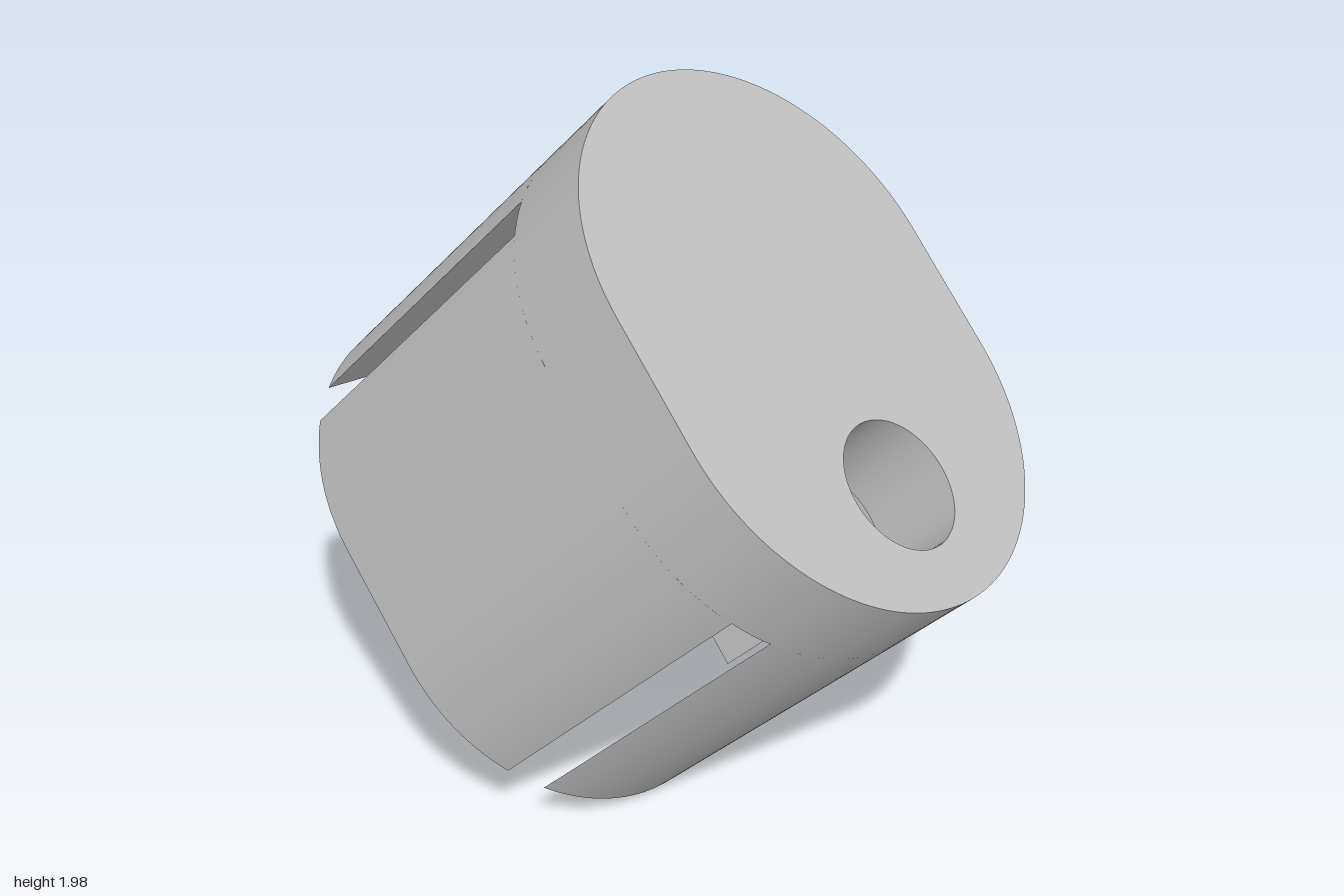
import * as THREE from 'three';
import { toCreasedNormals } from 'three/addons/utils/BufferGeometryUtils.js';

// Obround section: two half circles of radius R, centres at (0, +-S)
const R = 0.593, S = 0.178;
// Half size of the rectangular cavity, its depth and the overall height
const CU = 0.464, CV = 0.631, DEPTH = 1.003, HEIGHT = 1.288;

export function createModel() {
  const model = new THREE.Group();
  model.name = 'slottedCap';
  const grey = new THREE.MeshStandardMaterial({ color: 0xc0c0c0 });
  grey.name = 'grey';

  const body = new THREE.Group();
  body.name = 'body';
  model.add(body);

  function addPrism(name, shape, from, to) {
    const geometry = new THREE.ExtrudeGeometry(shape, {
      depth: to - from, bevelEnabled: false, curveSegments: 40,
    });
    geometry.translate(0, 0, from);
    const mesh = new THREE.Mesh(toCreasedNormals(geometry, 0.5), grey);
    mesh.name = name;
    body.add(mesh);
    return mesh;
  }

  // Solid end plate with an off-centre round hole
  const plate = new THREE.Shape();
  plate.absarc(0, S, R, 0, Math.PI, false);
  plate.absarc(0, -S, R, Math.PI, 2 * Math.PI, false);
  plate.closePath();
  const hole = new THREE.Path();
  hole.absarc(0, -0.441, 0.178, 0, 2 * Math.PI, true);
  plate.holes.push(hole);
  addPrism('endPlate', plate, DEPTH, HEIGHT);

  // Broad legs under the round ends
  const a = Math.asin((CV - S) / R);
  const broad = new THREE.Shape();
  broad.absarc(0, S, R, a, Math.PI - a, false);
  broad.closePath();
  // Side legs under the flats
  const b = Math.acos(CU / R);
  const side = new THREE.Shape();
  side.absarc(0, -S, R, -b, 0, false);
  side.absarc(0, S, R, 0, b, false);
  side.closePath();

  addPrism('backLeg', broad, 0, DEPTH);
  addPrism('frontLeg', broad, 0, DEPTH).rotation.z = Math.PI;
  addPrism('leftLeg', side, 0, DEPTH);
  addPrism('rightLeg', side, 0, DEPTH).rotation.z = Math.PI;

  // Tilt the whole body along its leaning axis
  const axis = new THREE.Vector3(0.31, 0.96, 0.8).normalize();
  const across = new THREE.Vector3(0, axis.z, -axis.y).normalize();
  const sideways = new THREE.Vector3().crossVectors(across, axis);
  body.quaternion.setFromRotationMatrix(
    new THREE.Matrix4().makeBasis(sideways, across, axis));
  body.position.set(-0.155, 0.509, -0.4);
  return model;
}
